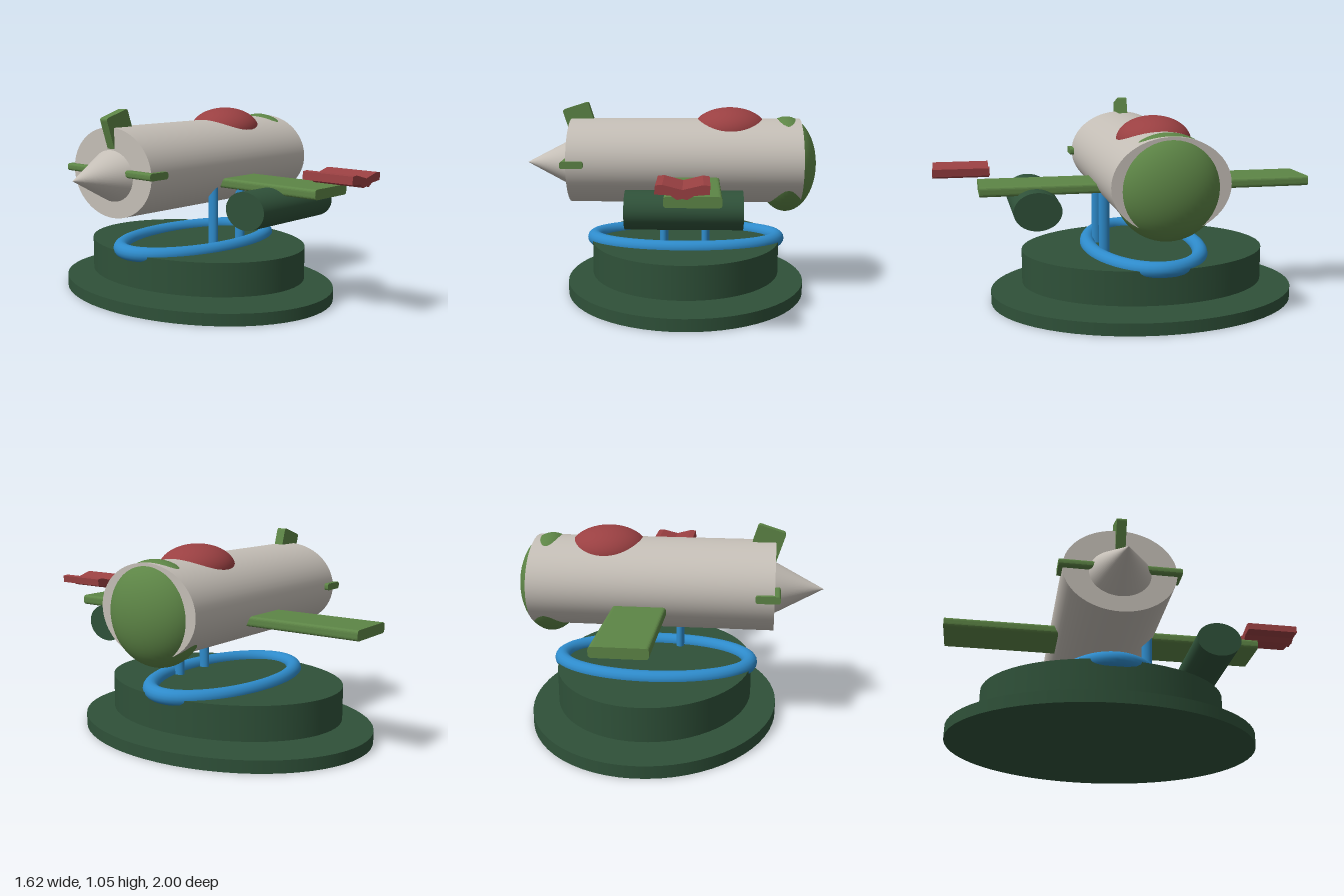
import * as THREE from 'three';

const mat = (name, color) => {
  const m = new THREE.MeshStandardMaterial({ color });
  m.name = name;
  return m;
};

export function createModel() {
  const group = new THREE.Group();
  const darkGreen = mat('dark green', 0x2f5139);
  const green = mat('leaf green', 0x5d8546);
  const red = mat('brick red', 0x9a4042);
  const grey = mat('warm grey', 0xc4beb6);
  const blue = mat('blue', 0x2e8bcb);

  const CX = 0.083; // centre of the stand
  const CZ = -0.115; // centre line of the craft

  const add = (name, geometry, material, position = [0, 0, 0], scale = [1, 1, 1]) => {
    const mesh = new THREE.Mesh(geometry, material);
    mesh.name = name;
    mesh.position.set(...position);
    mesh.scale.set(...scale);
    group.add(mesh);
    return mesh;
  };
  const ball = (name, material, position, radii) =>
    add(name, new THREE.SphereGeometry(1, 48, 32), material, position, radii);
  const upright = (name, material, position, radii) =>
    add(name, new THREE.CylinderGeometry(1, 1, 1, 64), material, position, radii);
  const lengthwise = (name, material, position, radii, rTop = 1) =>
    add(name, new THREE.CylinderGeometry(rTop, 1, 1, 64).rotateZ(Math.PI / 2), material, position, radii);

  // Slab with softened corners in xy, running along z
  const slab = (name, w, h, depth, r, position) => {
    const s = new THREE.Shape();
    const x = w / 2, y = h / 2;
    s.moveTo(-x + r, -y).lineTo(x - r, -y);
    s.quadraticCurveTo(x, -y, x, -y + r).lineTo(x, y - r);
    s.quadraticCurveTo(x, y, x - r, y).lineTo(-x + r, y);
    s.quadraticCurveTo(-x, y, -x, y - r).lineTo(-x, -y + r);
    s.quadraticCurveTo(-x, -y, -x + r, -y);
    const g = new THREE.ExtrudeGeometry(s, { depth, bevelEnabled: false, curveSegments: 5 });
    return add(name, g.translate(0, 0, -depth / 2), green, position);
  };

  // Stand: oval plate and drum
  upright('basePlate', darkGreen, [CX, 0.0325, CZ], [0.663, 0.065, 0.833]);
  upright('baseDrum', darkGreen, [CX, 0.195, CZ], [0.525, 0.18, 0.663]);

  // Oval ring lying on the drum
  const path = new THREE.CatmullRomCurve3(
    Array.from({ length: 32 }, (_, i) => {
      const a = (i / 32) * Math.PI * 2;
      return new THREE.Vector3(Math.cos(a) * 0.517, 0, Math.sin(a) * 0.295);
    }), true);
  add('ring', new THREE.TubeGeometry(path, 96, 0.041, 16, true), blue, [CX, 0.288, CZ]);

  // Struts with rounded feet beneath the drum
  for (const x of [-0.03, 0.194]) {
    upright('strut', blue, [x, 0.38, 0.117], [0.022, 0.5, 0.029]);
    ball('strutFoot', darkGreen, [x, 0.115, 0.117], [0.03, 0.05, 0.072]);
  }

  // Fuselage, nose, tail cone and canopy
  lengthwise('fuselage', grey, [0.08, 0.729, CZ], [1.27, 0.234, 0.294]);
  lengthwise('tailCone', grey, [-0.673, 0.714, CZ], [0.275, 0.143, 0.172], 0);
  ball('nose', green, [0.641, 0.71, -0.113], [0.168, 0.265, 0.265]);
  ball('canopy', red, [0.328, 0.9, CZ], [0.207, 0.125, 0.191]);

  // Wing, horizontal tail and swept fin
  slab('wing', 0.276, 0.053, 1.77, 0.018, [0.128, 0.645, -0.115]);
  slab('horizontalTail', 0.125, 0.038, 0.632, 0.015, [-0.5225, 0.737, CZ]);
  const fin = slab('tailFin', 0.15, 0.3, 0.052, 0.015, [-0.488, 0.89, CZ]);
  fin.rotation.z = 0.31;

  // Pod under the near wing
  lengthwise('wingPod', darkGreen, [0.0825, 0.556, 0.486], [0.585, 0.098, 0.123]);

  // Curved chevron plate beyond the wing tip
  const profile = [
    [-0.04, 0.722], [0.03, 0.718], [0.06, 0.698], [0.083, 0.703], [0.105, 0.698], [0.135, 0.716],
    [0.203, 0.722], [0.206, 0.76], [0.175, 0.764], [0.083, 0.742], [-0.005, 0.765], [-0.036, 0.762],
  ].map(([x, y]) => new THREE.Vector2(x, y));
  const chevron = new THREE.ExtrudeGeometry(new THREE.Shape(profile), { depth: 0.288, bevelEnabled: false });
  add('tipPlate', chevron, red, [0, 0, 0.712]);

  return group;
}
